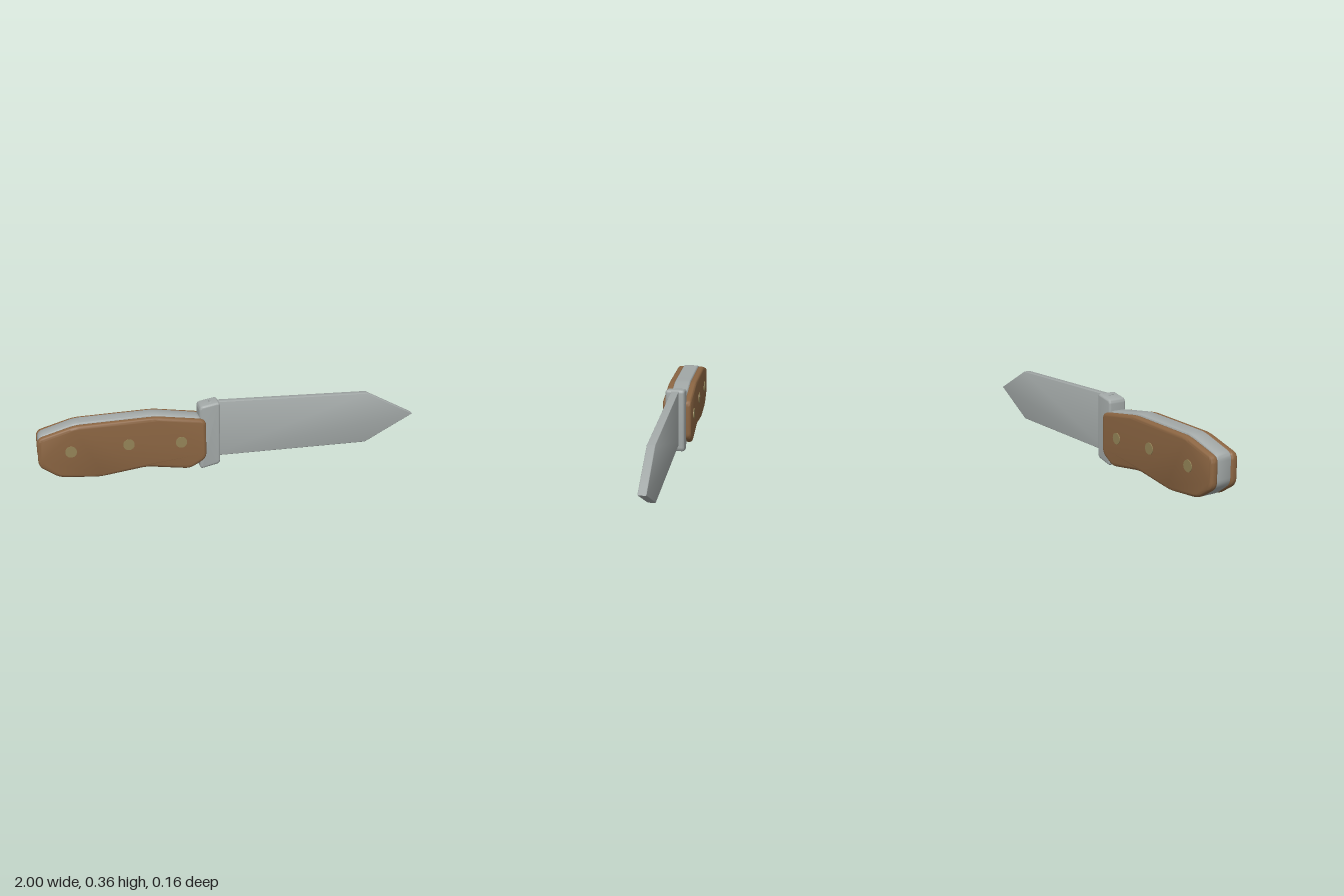
import * as THREE from 'three';
import { toCreasedNormals } from 'three/addons/utils/BufferGeometryUtils.js';

const steel = new THREE.MeshStandardMaterial({ color: 0xa3a9a8 });
steel.name = 'steel';
const wood = new THREE.MeshStandardMaterial({ color: 0x8b6542 });
wood.name = 'wood';
const brass = new THREE.MeshStandardMaterial({ color: 0x948457 });
brass.name = 'brass';

// Closed outline whose corners are softened by cutting `cut` off each side
function outline(points, cut) {
  const pts = points.map(([x, y]) => new THREE.Vector2(x, y));
  const shape = new THREE.Shape();
  if (!cut) return shape.setFromPoints(pts);
  pts.forEach((p, i) => {
    const prev = pts[(i + pts.length - 1) % pts.length];
    const next = pts[(i + 1) % pts.length];
    const a = prev.clone().sub(p).setLength(cut).add(p);
    const b = next.clone().sub(p).setLength(cut).add(p);
    if (i) shape.lineTo(a.x, a.y);
    else shape.moveTo(a.x, a.y);
    shape.quadraticCurveTo(p.x, p.y, b.x, b.y);
  });
  shape.closePath();
  return shape;
}

// Plate cut from an outline, with rounded rims, between z0 and z1
function plate(name, points, cut, z0, z1, bevel, material) {
  const geo = new THREE.ExtrudeGeometry(outline(points, cut), {
    depth: z1 - z0 - 2 * bevel,
    bevelThickness: bevel,
    bevelSize: bevel,
    bevelOffset: -bevel,
    bevelSegments: 4,
    curveSegments: 5,
  });
  geo.translate(0, 0, z0 + bevel);
  const mesh = new THREE.Mesh(toCreasedNormals(geo, 0.65), material);
  mesh.name = name;
  return mesh;
}

export function createModel() {
  const knife = new THREE.Group();
  knife.name = 'knife';

  // Blade
  knife.add(plate('blade', [
    [-0.12, 0.057], [0.735, 0.057], [1, 0.198], [0.735, 0.336], [-0.12, 0.357],
  ], 0, -0.02, 0.02, 0.004, steel));

  // Guard, slightly flared towards the blade at the top
  knife.add(plate('guard', [
    [-0.178, 0], [-0.07, 0.024], [-0.07, 0.364], [-0.178, 0.344],
  ], 0.02, -0.05, 0.05, 0.012, steel));

  // Tang running between the two handle scales
  knife.add(plate('tang', [
    [-0.995, 0.11], [-0.9, 0.038], [-0.7, 0.019], [-0.46, 0.05], [-0.24, 0.02],
    [-0.16, 0.07], [-0.16, 0.287], [-0.405, 0.324], [-0.81, 0.312], [-0.995, 0.255],
  ], 0.03, -0.044, 0.044, 0.012, steel));

  // Handle scales and rivets, mirrored on both sides
  const scaleOutline = [
    [-1, 0.105], [-0.9, 0.038], [-0.7, 0.021], [-0.46, 0.053], [-0.235, 0.02],
    [-0.148, 0.07], [-0.148, 0.28], [-0.405, 0.317], [-0.81, 0.305], [-1, 0.25],
  ];
  const rivets = [[-0.837, 0.175], [-0.548, 0.187], [-0.28, 0.175]];
  for (const side of [1, -1]) {
    const [z0, z1] = side > 0 ? [0.036, 0.077] : [-0.077, -0.036];
    knife.add(plate('handleScale', scaleOutline, 0.03, z0, z1, 0.016, wood));
    for (const [x, y] of rivets) {
      const rivet = new THREE.Mesh(new THREE.CylinderGeometry(0.029, 0.029, 0.02, 24), brass);
      rivet.name = 'rivet';
      rivet.rotation.x = Math.PI / 2;
      rivet.position.set(x, y, side * 0.071);
      knife.add(rivet);
    }
  }
  return knife;
}
